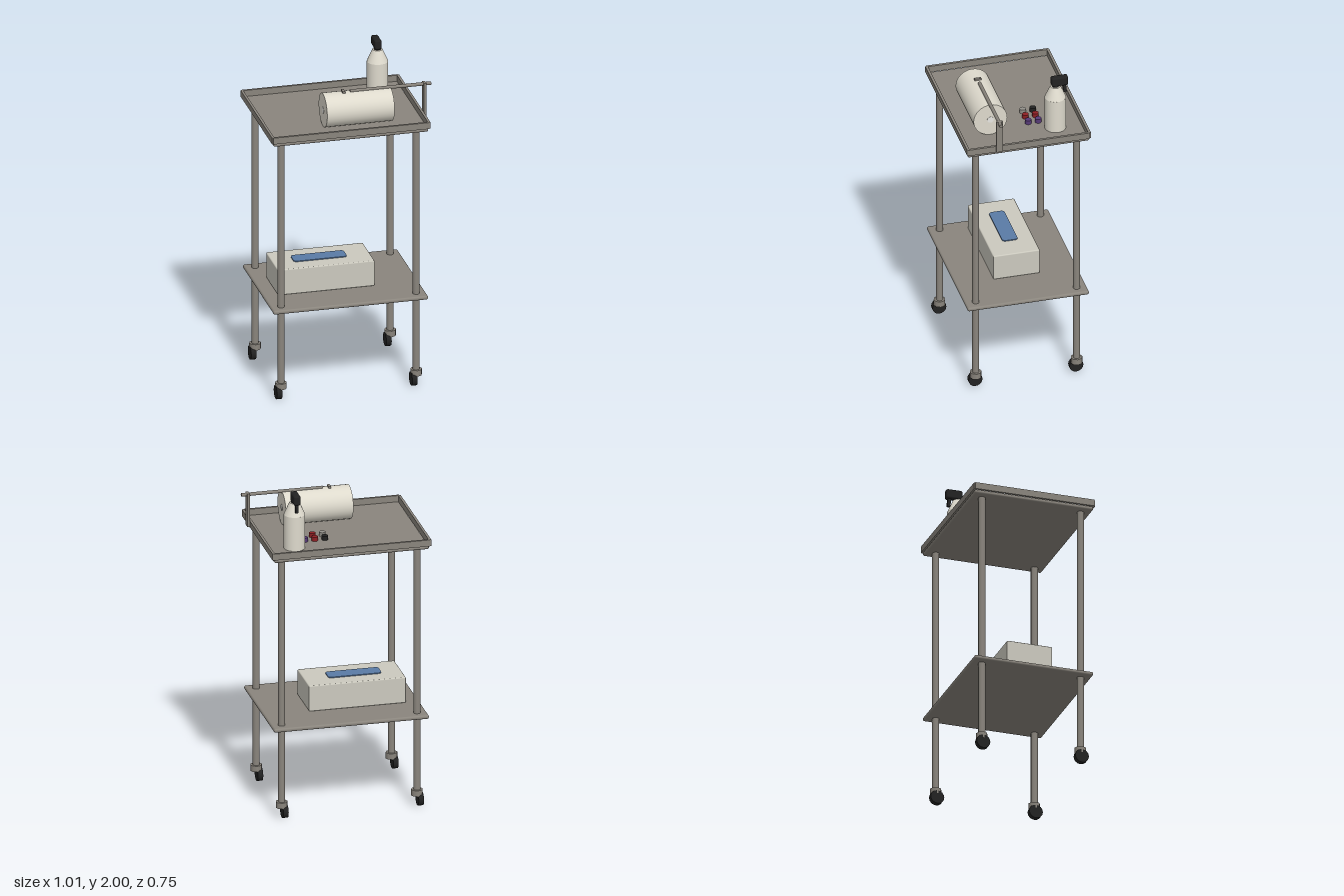
import * as THREE from 'three';
import { RoundedBoxGeometry } from 'three/addons/geometries/RoundedBoxGeometry.js';

const mat = (name, color) => {
  const m = new THREE.MeshStandardMaterial({ color });
  m.name = name;
  return m;
};

export function createModel() {
  const steel = mat('steel', 0x8a857d);
  const paper = mat('paper', 0xdedacd);
  const card = mat('card', 0xcbc9be);
  const blue = mat('blue', 0x5a7ba6);
  const black = mat('black', 0x222222);
  const red = mat('red', 0x8f2024);
  const purple = mat('purple', 0x573a78);
  const white = mat('white', 0xf4f3ee);
  const clear = mat('light grey', 0x94918b);

  const model = new THREE.Group();
  model.name = 'trolley';
  const add = (name, geo, material, x, y, z, parent = model) => {
    const m = new THREE.Mesh(geo, material);
    m.name = name;
    m.position.set(x, y, z);
    parent.add(m);
    return m;
  };
  const group = (name) => {
    const g = new THREE.Group();
    g.name = name;
    model.add(g);
    return g;
  };
  const box = (w, h, d) => new THREE.BoxGeometry(w, h, d);
  const cyl = (r, h, n = 24) => new THREE.CylinderGeometry(r, r, h, n);

  const cx = -0.027, cz = -0.001;

  // Two shelves with rounded edges
  for (const [name, y] of [['lowerShelf', 0.571], ['upperShelf', 1.64]]) {
    add(name, new RoundedBoxGeometry(0.936, 0.024, 0.736, 3, 0.011), steel, cx, y, cz);
  }

  // Raised rim around the upper shelf
  const rim = group('trayRim');
  for (const s of [-1, 1]) {
    add('rimLong', box(0.944, 0.04, 0.015), steel, cx, 1.67, cz + s * 0.368, rim);
    add('rimShort', box(0.015, 0.04, 0.74), steel, cx + s * 0.472, 1.67, cz, rim);
  }

  // Posts with a collar and a wheel at each corner
  for (const sx of [-1, 1]) {
    for (const sz of [-1, 1]) {
      const x = cx + sx * 0.409, z = cz + sz * 0.306;
      add('post', cyl(0.021, 1.56, 12), steel, x, 0.86, z);
      const caster = group('caster');
      add('collar', cyl(0.035, 0.037, 8), steel, x, 0.084, z, caster);
      add('wheel', cyl(0.042, 0.032, 16), black, x - 0.017, 0.042, z, caster).rotation.z = Math.PI / 2;
    }
  }

  // Glove box with a blue opening on top
  const gloves = group('gloveBox');
  add('carton', new RoundedBoxGeometry(0.586, 0.161, 0.282, 2, 0.007), card, -0.119, 0.664, 0, gloves);
  add('opening', new THREE.ExtrudeGeometry(roundedRect(0.322, 0.094, 0.02), {
    depth: 0.007, bevelEnabled: false, curveSegments: 3,
  }), blue, -0.129, 0.743, 0, gloves).rotation.x = -Math.PI / 2;

  // Paper roll lying along x, with a pale core at both ends
  const roll = group('paperRoll');
  add('roll', cyl(0.102, 0.408, 32), paper, 0.054, 1.754, 0.182, roll).rotation.z = Math.PI / 2;
  add('core', cyl(0.02, 0.412, 16), white, 0.054, 1.754, 0.182, roll).rotation.z = Math.PI / 2;

  // Bracket and arm above the roll
  const holder = group('rollHolder');
  add('upright', box(0.016, 0.207, 0.04), steel, 0.463, 1.763, 0.182, holder);
  add('arm', cyl(0.011, 0.49, 8), steel, 0.258, 1.857, 0.182, holder).rotation.z = Math.PI / 2;
  add('clip', box(0.016, 0.018, 0.04), steel, -0.028, 1.857, 0.182, holder);

  // Spray bottle
  const bottle = group('sprayBottle');
  const bx = 0.279, bz = -0.206;
  add('bottleBody', cyl(0.063, 0.212, 28), paper, bx, 1.757, bz, bottle);
  add('bottleShoulder', new THREE.CylinderGeometry(0.03, 0.063, 0.075, 28), paper, bx, 1.9, bz, bottle);
  add('neck', cyl(0.02, 0.03, 16), black, bx, 1.945, bz, bottle);
  add('sprayHead', new RoundedBoxGeometry(0.042, 0.058, 0.1, 2, 0.01), black, bx, 1.971, -0.231, bottle);
  add('trigger', box(0.016, 0.06, 0.02), black, bx, 1.922, -0.261, bottle).rotation.x = 0.12;

  // Two rows of small pots
  const pots = group('pots');
  const rows = [[-0.124, [black, red, purple]], [-0.063, [clear, red, purple]]];
  for (const [z, colours] of rows) {
    colours.forEach((c, i) => add('pot', cyl(0.019, 0.026, 16), c, 0.074 + i * 0.0615, 1.665, z, pots));
  }
  return model;
}

// Centred rectangle with rounded corners
function roundedRect(w, h, r) {
  const s = new THREE.Shape();
  const x = w / 2 - r, y = h / 2 - r;
  s.absarc(x, y, r, 0, Math.PI / 2);
  s.absarc(-x, y, r, Math.PI / 2, Math.PI);
  s.absarc(-x, -y, r, Math.PI, Math.PI * 1.5);
  s.absarc(x, -y, r, Math.PI * 1.5, Math.PI * 2);
  return s;
}
